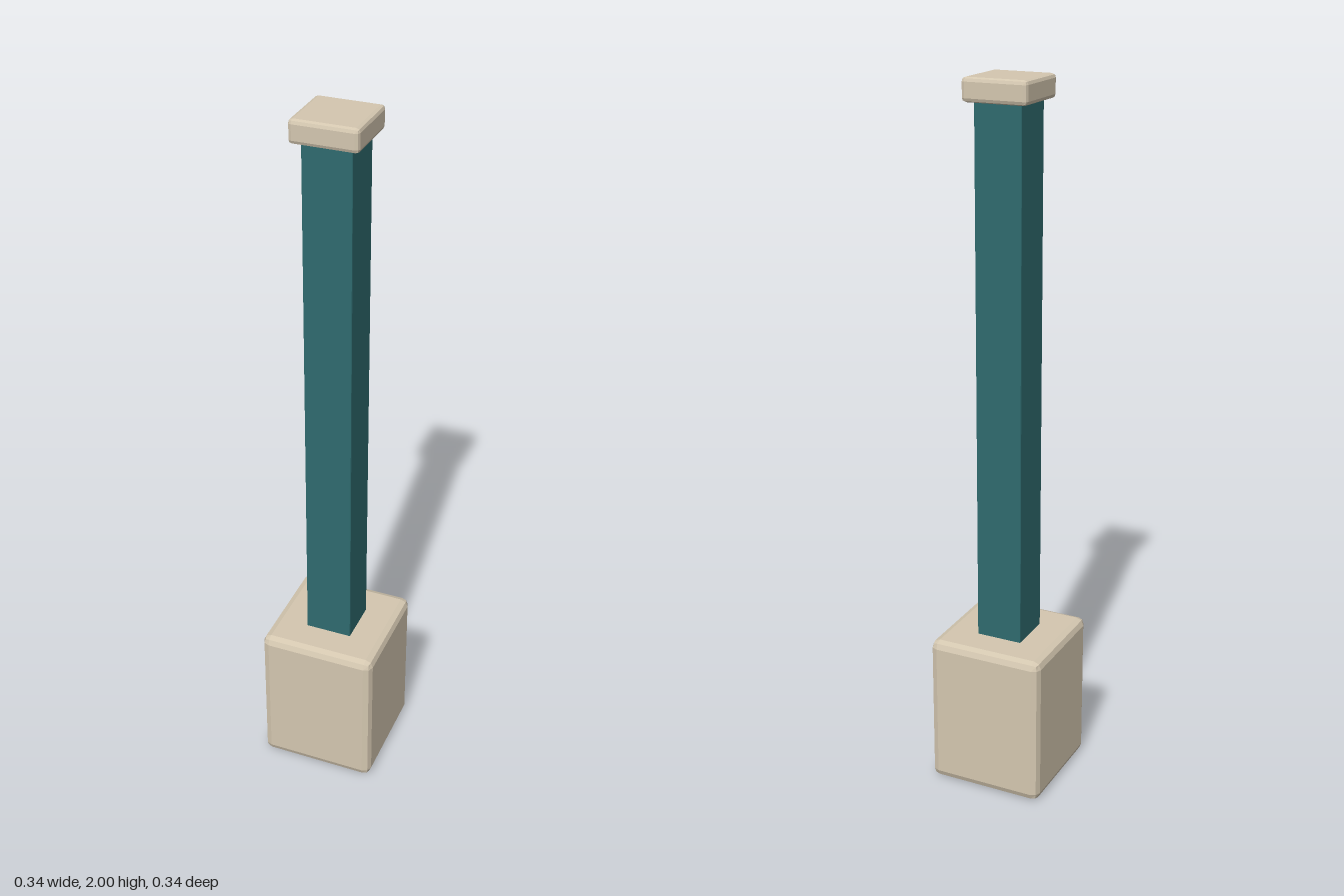
import * as THREE from 'three';
import { RoundedBoxGeometry } from 'three/addons/geometries/RoundedBoxGeometry.js';

const stone = new THREE.MeshStandardMaterial({ color: 0xd4c7b0 });
const teal = new THREE.MeshStandardMaterial({ color: 0x2f6b6f });

// Square block with faceted bevels, spanning bottom to top
function block(name, width, bottom, top, bevel, material) {
  const geometry = new RoundedBoxGeometry(width, top - bottom, width, 1, bevel);
  geometry.computeVertexNormals(); // unshared vertices give flat facets
  const mesh = new THREE.Mesh(geometry, material);
  mesh.name = name;
  mesh.position.y = (bottom + top) / 2;
  return mesh;
}

export function createModel() {
  const post = new THREE.Group();
  post.name = 'post';
  post.add(
    block('base', 0.338, 0, 0.44, 0.022, stone),
    block('shaft', 0.134, 0.42, 1.95, 0.003, teal),
    block('cap', 0.184, 1.937, 2, 0.011, stone),
  );
  return post;
}
